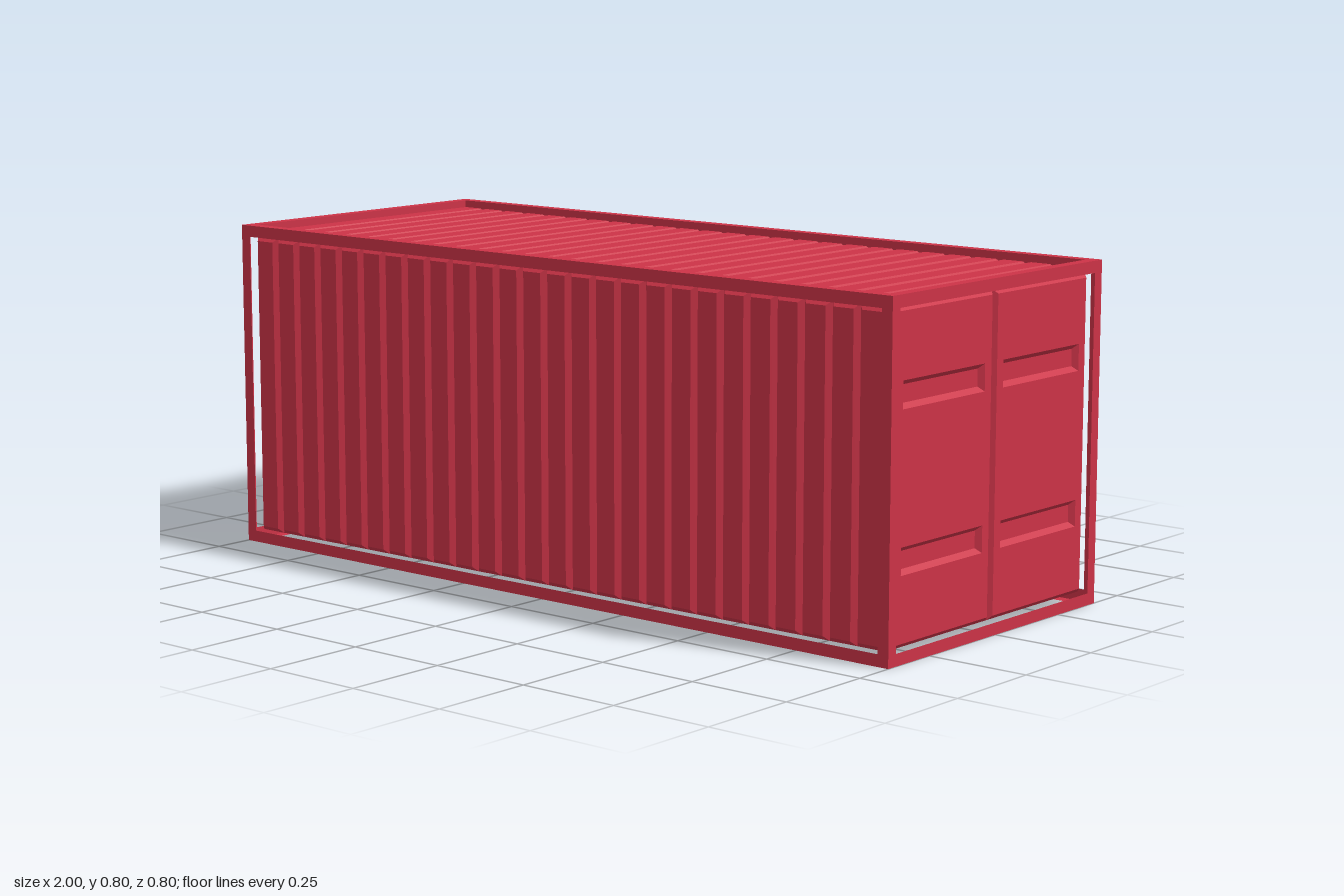
import * as THREE from 'three';
import { mergeGeometries } from 'three/addons/utils/BufferGeometryUtils.js';

const L = 2, S = 0.8;        // length, and height = depth
const BAR = 0.028;           // frame width and depth of the recessed body
const BEVEL = 0.011;         // width of the sloped edges
const RAISE = 0.012;         // height of the sloped edges

const material = new THREE.MeshStandardMaterial({ color: 0xcc3347, flatShading: true, side: THREE.DoubleSide });

// Corners of a rectangle, counter-clockwise
const rect = (x, y, w, h) => [[-1, -1], [1, -1], [1, 1], [-1, 1]]
  .map(([a, b]) => new THREE.Vector2(x + a * w / 2, y + b * h / 2));

// Flat rectangle with rectangular holes, at height z
function plate(x, y, w, h, z, holes = []) {
  const shape = new THREE.Shape(rect(x, y, w, h));
  for (const r of holes) shape.holes.push(new THREE.Path(rect(...r)));
  const geo = new THREE.ShapeGeometry(shape).toNonIndexed();
  geo.deleteAttribute('uv');
  return geo.translate(0, 0, z);
}

// Four sloped sides from an outer rectangle at z0 to an inner one at z1
function slopes(x, y, w, h, z0, z1) {
  const outer = rect(x, y, w, h), inner = rect(x, y, w - 2 * BEVEL, h - 2 * BEVEL);
  const pos = [];
  for (let i = 0; i < 4; i++) {
    const j = (i + 1) % 4;
    const a = [outer[i].x, outer[i].y, z0], b = [outer[j].x, outer[j].y, z0];
    const c = [inner[j].x, inner[j].y, z1], d = [inner[i].x, inner[i].y, z1];
    pos.push(...a, ...b, ...c, ...a, ...c, ...d);
  }
  const geo = new THREE.BufferGeometry();
  geo.setAttribute('position', new THREE.Float32BufferAttribute(pos, 3));
  geo.computeVertexNormals();
  return geo;
}

// Row of raised planks, each with optional sunken dents [x, y, w, h]
function panel(w, h, count, dents = []) {
  const parts = [], step = w / count;
  for (let i = 0; i < count; i++) {
    const x = -w / 2 + (i + 0.5) * step;
    const local = dents.map(([dx, dy, dw, dh]) => [x + dx, dy, dw, dh]);
    parts.push(slopes(x, 0, step, h, 0, RAISE));
    parts.push(plate(x, 0, step - 2 * BEVEL, h - 2 * BEVEL, RAISE, local));
    for (const [dx, dy, dw, dh] of local) {
      parts.push(slopes(dx, dy, dw, dh, RAISE, 0));
      parts.push(plate(dx, dy, dw - 2 * BEVEL, dh - 2 * BEVEL, 0));
    }
  }
  return mergeGeometries(parts);
}

export function createModel() {
  const group = new THREE.Group();
  const add = (name, geo, rx, ry, x, y, z) => {
    const mesh = new THREE.Mesh(geo, material);
    mesh.name = name;
    mesh.rotation.set(rx, ry, 0);
    mesh.position.set(x, y, z);
    group.add(mesh);
  };

  const l = L - 2 * BAR, s = S - 2 * BAR, H = S / 2, Q = Math.PI / 2;
  const longFrame = plate(0, 0, L, S, 0, [[0, 0, l, s]]);
  const endFrame = plate(0, 0, S, S, 0, [[0, 0, s, s]]);
  const ribbed = panel(l, s, 26);
  const doors = panel(s, s, 2, [[0, 0.181, 0.302, 0.062], [0, -0.18, 0.302, 0.062]]);

  // Outer angle-iron frame
  add('frontFrame', longFrame, 0, 0, 0, H, H);
  add('backFrame', longFrame, 0, Math.PI, 0, H, -H);
  add('roofFrame', longFrame, -Q, 0, 0, S, 0);
  add('bottomFrame', longFrame, Q, 0, 0, 0, 0);
  add('leftFrame', endFrame, 0, Q, L / 2, H, 0);
  add('rightFrame', endFrame, 0, -Q, -L / 2, H, 0);

  // Corrugated walls and roof, open underneath
  add('frontWall', ribbed, 0, 0, 0, H, H - BAR);
  add('backWall', ribbed, 0, Math.PI, 0, H, -H + BAR);
  add('roof', ribbed, -Q, 0, 0, S - BAR, 0);

  // Double doors at both ends
  add('leftDoors', doors, 0, Q, L / 2 - BAR, H, 0);
  add('rightDoors', doors, 0, -Q, -L / 2 + BAR, H, 0);

  return group;
}
